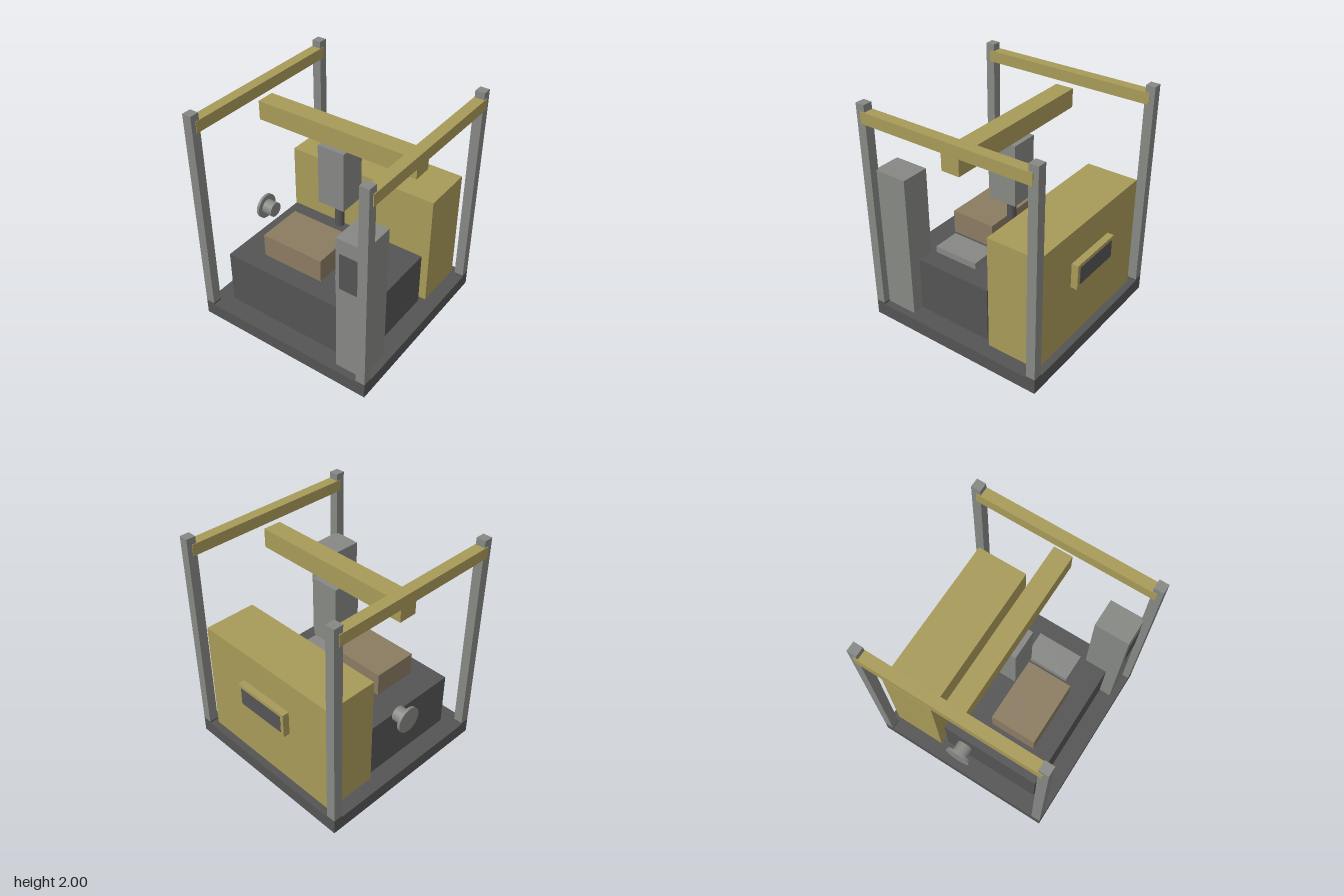
import * as THREE from 'three';

export function createModel() {
  const model = new THREE.Group();
  model.name = 'drillingMachine';

  const mat = (name, color) => {
    const m = new THREE.MeshStandardMaterial({ color });
    m.name = name;
    return m;
  };
  const dark = mat('charcoal', 0x545454);
  const grey = mat('steelGrey', 0x868884);
  const ochre = mat('ochre', 0xa89a59);
  const brown = mat('workpieceBrown', 0x8b7b61);

  // Box given by its min and max on each axis
  const box = (name, material, [x0, x1], [y0, y1], [z0, z1]) => {
    const mesh = new THREE.Mesh(new THREE.BoxGeometry(x1 - x0, y1 - y0, z1 - z0), material);
    mesh.position.set((x0 + x1) / 2, (y0 + y1) / 2, (z0 + z1) / 2);
    mesh.name = name;
    model.add(mesh);
    return mesh;
  };
  const cylinder = (name, material, radius, length) => {
    const mesh = new THREE.Mesh(new THREE.CylinderGeometry(radius, radius, length, 32), material);
    mesh.name = name;
    model.add(mesh);
    return mesh;
  };

  box('basePlate', dark, [-0.833, 0.833], [0, 0.125], [-0.833, 0.833]);

  // Frame: four posts on feet, two side rails
  const span = (s, a, b) => (s > 0 ? [a, b] : [-b, -a]);
  for (const sx of [-1, 1]) {
    for (const sz of [-1, 1]) {
      const px = span(sx, 0.75, 0.833), pz = span(sz, 0.75, 0.833);
      box('postFoot', dark, px, [0.125, 0.14], pz);
      box('post', grey, px, [0.14, 2], pz);
    }
    box('sideRail', ochre, span(sx, 0.745, 0.84), [1.84, 1.94], [-0.79, 0.79]);
  }

  // Crossbeam with drilling head
  box('crossbeam', ochre, [-0.75, 0.75], [1.63, 1.8], [-0.083, 0.083]);
  box('head', grey, [-0.125, 0.125], [1.085, 1.63], [-0.125, 0.125]);
  cylinder('spindle', dark, 0.04, 0.25).position.y = 0.96;

  // Table, workpiece and side plate
  box('table', dark, [-0.665, 0.665], [0.125, 0.625], [-0.25, 0.665]);
  box('workpiece', brown, [-0.417, 0.165], [0.625, 0.835], [0.083, 0.495]);
  box('clampPlate', grey, [0.25, 0.497], [0.625, 0.683], [0, 0.415]);

  // Rear cabinet with framed window on its back
  box('cabinet', ochre, [-0.71, 0.71], [0.125, 1.17], [-0.77, -0.295]);
  box('windowFrame', ochre, [-0.268, 0.268], [0.655, 0.88], [-0.83, -0.77]);
  box('window', dark, [-0.235, 0.235], [0.69, 0.85], [-0.833, -0.829]);

  // Control column with front panel
  box('controlColumn', grey, [0.515, 0.77], [0.125, 1.42], [0.46, 0.77]);
  box('controlPanel', dark, [0.55, 0.735], [0.96, 1.29], [0.769, 0.775]);

  // Hand wheel: wide rim outside, hub inside
  const rim = cylinder('handWheelRim', grey, 0.115, 0.025);
  const hub = cylinder('handWheelHub', grey, 0.068, 0.1);
  rim.rotation.z = hub.rotation.z = Math.PI / 2;
  rim.position.set(-0.82, 0.67, 0);
  hub.position.set(-0.76, 0.67, 0);

  return model;
}
